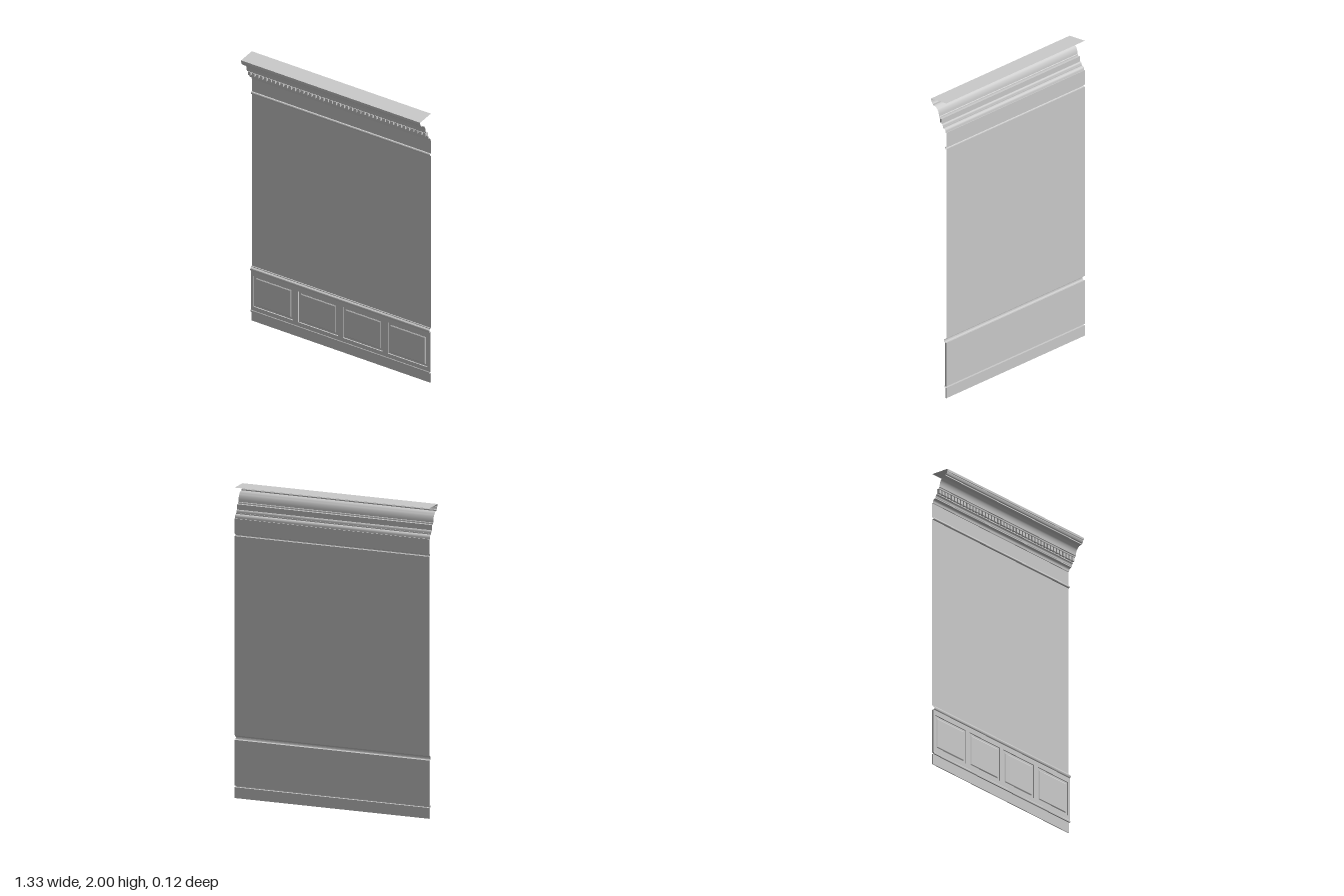
import * as THREE from 'three';
import { toCreasedNormals } from 'three/addons/utils/BufferGeometryUtils.js';

const W = 1.33;          // wall width
const BACK = -0.0625;    // plane of the wall
const BAYS = 4;
const BAY = W / BAYS;

const material = new THREE.MeshStandardMaterial({ color: 0xcccccc, side: THREE.DoubleSide });

function add(group, name, geometry, x = 0, y = 0, z = 0) {
  const mesh = new THREE.Mesh(geometry, material);
  mesh.name = name;
  mesh.position.set(x, y, z);
  group.add(mesh);
  return mesh;
}

// Open sheet across the full width, following [z, y] points from bottom to top
function moulding(points) {
  const geo = new THREE.PlaneGeometry(W, 1, 1, points.length - 1);
  const pos = geo.attributes.position;
  for (let i = 0; i < pos.count; i++) {
    const [z, y] = points[points.length - 1 - Math.floor(i / 2)];
    pos.setY(i, y);
    pos.setZ(i, z);
  }
  return toCreasedNormals(geo, 0.5);
}

// Points of a quarter curve between two [z, y] ends; hollow leaves the start vertically
function quarter([z0, y0], [z1, y1], hollow, steps = 8) {
  return Array.from({ length: steps + 1 }, (_, i) => {
    const a = (i / steps) * Math.PI / 2;
    const s = Math.sin(a), c = 1 - Math.cos(a);
    return hollow
      ? [z0 + (z1 - z0) * c, y0 + (y1 - y0) * s]
      : [z0 + (z1 - z0) * s, y0 + (y1 - y0) * c];
  });
}

function rectangle(Type, x0, y0, x1, y1) {
  const r = new Type();
  r.moveTo(x0, y0);
  r.lineTo(x1, y0);
  r.lineTo(x1, y1);
  r.lineTo(x0, y1);
  r.closePath();
  return r;
}

export function createModel() {
  const model = new THREE.Group();
  model.name = 'panelledWall';

  // Plain wall fields
  add(model, 'wallField', moulding([[BACK, 0.405], [BACK, 1.688]]));
  add(model, 'frieze', moulding([[BACK, 1.703], [BACK, 1.8]]));

  // Baseboard and its cap moulding
  add(model, 'baseboard', new THREE.BoxGeometry(W, 0.07, 0.006), 0, 0.035, BACK + 0.003);
  add(model, 'baseboardCap', moulding([
    [-0.0565, 0.07], [-0.047, 0.07], [-0.046, 0.075], [-0.047, 0.081], [-0.05, 0.084]
  ]));

  // Wainscot: backing board, frame with openings, raised panels
  const wainscot = new THREE.Group();
  wainscot.name = 'wainscot';
  model.add(wainscot);
  add(wainscot, 'backingBoard', new THREE.BoxGeometry(W, 0.295, 0.004), 0, 0.2275, BACK + 0.002);

  const frame = rectangle(THREE.Shape, -W / 2, 0.08, W / 2, 0.375);
  for (let i = 0; i < BAYS; i++) {
    const cx = (i + 0.5) * BAY - W / 2;
    frame.holes.push(rectangle(THREE.Path, cx - 0.147, 0.112, cx + 0.147, 0.342));
    const panel = rectangle(THREE.Shape, -0.125, -0.095, 0.125, 0.095);
    add(wainscot, 'raisedPanel', new THREE.ExtrudeGeometry(panel, {
      depth: 0.001, bevelEnabled: true, bevelSegments: 1, bevelSize: 0.006, bevelThickness: 0.004
    }), cx, 0.227, -0.0575);
  }
  add(wainscot, 'panelFrame',
    new THREE.ExtrudeGeometry(frame, { depth: 0.0105, bevelEnabled: false }), 0, 0, BACK + 0.001);

  // Chair rail
  add(model, 'chairRail', moulding([
    [-0.051, 0.375], [-0.047, 0.377], [-0.044, 0.382], [-0.043, 0.388],
    [-0.045, 0.394], [-0.05, 0.398], [-0.055, 0.4], [-0.056, 0.405], [BACK, 0.405]
  ]));

  // Picture rail
  add(model, 'pictureRail', moulding([
    [BACK, 1.688], [-0.054, 1.688], [-0.051, 1.692], [-0.051, 1.698], [-0.054, 1.703], [BACK, 1.703]
  ]));

  // Cornice: stepped bed mould, dentil band, cove, crown and flat top
  add(model, 'cornice', moulding([
    [BACK, 1.8], [-0.057, 1.8],
    ...quarter([-0.057, 1.803], [-0.042, 1.825], true, 5),
    [-0.037, 1.825], [-0.037, 1.832],
    ...quarter([-0.035, 1.832], [-0.025, 1.85], true, 4),
    [-0.024, 1.85], [-0.024, 1.884], [-0.008, 1.884], [-0.006, 1.892], [-0.002, 1.895],
    ...quarter([-0.002, 1.897], [0.042, 1.958], true, 8),
    [0.046, 1.958], [0.046, 1.965],
    ...quarter([0.048, 1.965], [0.058, 1.985], false, 4),
    [0.0625, 1.985], [0.0625, 2], [BACK, 2]
  ]));

  // Row of dentils
  const dentils = new THREE.Group();
  dentils.name = 'dentils';
  model.add(dentils);
  const count = 44;
  const block = new THREE.BoxGeometry(0.019, 0.025, 0.016);
  for (let i = 0; i < count; i++) {
    add(dentils, 'dentil', block, ((i + 0.5) / count - 0.5) * W, 1.868, -0.016);
  }

  return model;
}
